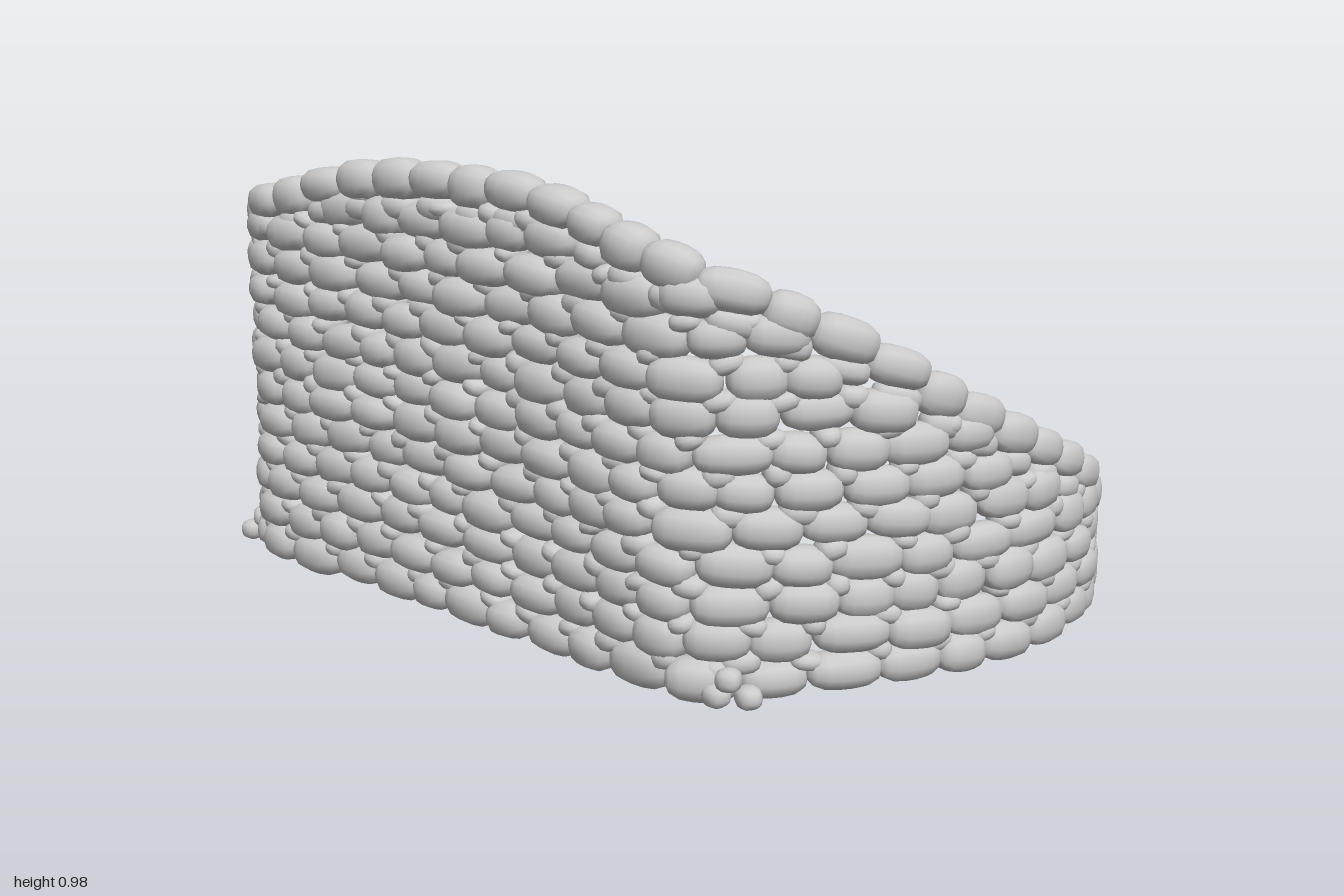
import * as THREE from 'three';
import { mergeVertices } from 'three/addons/utils/BufferGeometryUtils.js';

// Small seeded random generator
let seed = 7;
function rand(a, b) {
  seed = (seed * 16807) % 2147483647;
  return a + (b - a) * (seed / 2147483647);
}

// Pillow-shaped stone, 1 unit in each direction, long axis along x
function stoneGeometry() {
  let geo = new THREE.SphereGeometry(0.5, 14, 9).rotateZ(Math.PI / 2);
  geo.deleteAttribute('uv');
  geo.deleteAttribute('normal');
  geo = mergeVertices(geo, 1e-4);
  const p = geo.attributes.position;
  const v = new THREE.Vector3();
  for (let i = 0; i < p.count; i++) {
    v.fromBufferAttribute(p, i).multiplyScalar(2);
    const n = 2.8;
    const r = (Math.abs(v.x) ** n + Math.abs(v.y) ** n + Math.abs(v.z) ** n) ** (1 / n);
    v.multiplyScalar(0.5 / r);
    p.setXYZ(i, v.x, v.y, v.z);
  }
  geo.computeVertexNormals();
  return geo;
}

// Rim of the wall: plan position plus height of the top edge
const rim = new THREE.CatmullRomCurve3([
  [0.70, 0.035, 0.595], [0.60, 0.15, 0.71], [0.44, 0.25, 0.83], [0.28, 0.37, 0.925],
  [0.02, 0.50, 0.95], [-0.20, 0.62, 0.915], [-0.40, 0.75, 0.83], [-0.55, 0.83, 0.73],
  [-0.62, 0.875, 0.65], [-0.635, 0.91, 0.52], [-0.625, 0.97, 0.25], [-0.635, 0.98, 0],
  [-0.645, 0.97, -0.25], [-0.66, 0.91, -0.52], [-0.65, 0.875, -0.66], [-0.57, 0.83, -0.76],
  [-0.40, 0.75, -0.86], [-0.20, 0.62, -0.925], [0.02, 0.50, -0.955], [0.22, 0.40, -0.935],
  [0.40, 0.27, -0.83], [0.56, 0.16, -0.72], [0.67, 0.04, -0.605],
].map(([x, y, z]) => new THREE.Vector3(x, y, z)), false, 'centripetal');
rim.arcLengthDivisions = 800;

export function createModel() {
  seed = 7;
  const model = new THREE.Group();
  model.name = 'curvedStoneWall';
  const geo = stoneGeometry();
  const mat = new THREE.MeshStandardMaterial({ color: 0xcccccc });
  const length = rim.getLength();

  const addGroup = (name) => {
    const g = new THREE.Group();
    g.name = name;
    model.add(g);
    return g;
  };
  const addStone = (group, name, pos, size, yaw, tilt) => {
    const m = new THREE.Mesh(geo, mat);
    m.name = name;
    m.position.copy(pos);
    m.scale.set(...size);
    m.rotation.set(rand(-0.08, 0.08), yaw, tilt, 'YXZ');
    group.add(m);
  };
  // Position, yaw, slope and thickness of the wall at u
  const frame = (u) => {
    const p = rim.getPointAt(u);
    const t = rim.getTangentAt(u);
    const flat = Math.hypot(t.x, t.z);
    return {
      p, flat, yaw: Math.atan2(-t.z, t.x), slope: Math.atan2(t.y, flat),
      depth: Math.min(0.09, 0.045 + p.y * 0.05),
    };
  };

  // Horizontal courses with small filler stones at the joints
  const rowH = 0.073;
  const fillers = addGroup('fillerStones');
  for (let row = 0; row < 13; row++) {
    const course = addGroup('course' + (row + 1));
    const y = 0.052 + row * rowH;
    let u = (row % 2) * 0.016 + 0.004;
    while (u < 0.995) {
      const w = rand(0.105, 0.15);
      const mid = frame(Math.min(u + w / 2 / length, 1));
      const du = w / mid.flat / length;
      const f = frame(Math.min(u + du / 2, 1));
      if (y < f.p.y - 0.085) {
        const h = rand(0.074, 0.088);
        const pos = f.p.clone().setY(y + rand(-0.006, 0.006));
        pos.x += rand(-0.006, 0.006);
        pos.z += rand(-0.006, 0.006);
        addStone(course, 'wallStone', pos, [w * 1.04, h, f.depth * rand(0.9, 1.08)],
          f.yaw + rand(-0.06, 0.06), f.slope * 0.12 + rand(-0.07, 0.07));
        const j = frame(Math.min(u + du, 1));
        if (y < j.p.y - 0.11) {
          addStone(fillers, 'fillerStone', j.p.clone().setY(y + rowH * rand(0.35, 0.5)),
            [rand(0.05, 0.08), rand(0.035, 0.05), j.depth * rand(0.7, 0.9)],
            j.yaw, rand(-0.3, 0.3));
        }
      }
      u += du;
    }
  }

  // Capstones following the sloping top edge, shrinking toward both tips
  const caps = addGroup('capStones');
  let u = 0;
  while (u < 1) {
    const start = frame(u);
    const size = Math.min(1, 0.35 + start.p.y * 3.5, 0.35 + (1 - u) * 9);
    const w = rand(0.1, 0.135) * size;
    const f = frame(Math.min(u + w / 2 / length, 1));
    const h = rand(0.075, 0.09) * size;
    const pos = f.p.clone();
    pos.y = Math.max(pos.y - h * 0.5, h * 0.5 + 0.01);
    addStone(caps, 'capStone', pos, [w * 1.08, h, f.depth * rand(0.95, 1.12)],
      f.yaw, f.slope * 0.6 + rand(-0.08, 0.08));
    // Stone packed under the cap where the course below steps down
    if (f.p.y > 0.14) {
      addStone(fillers, 'underCapStone', pos.clone().setY(pos.y - 0.058),
        [w * 0.8, 0.055, f.depth * 0.85], f.yaw, f.slope * 0.5);
    }
    u += w / length;
  }

  // Loose rubble at the foot of the two back corners
  const rubble = addGroup('cornerRubble');
  for (const [x, z] of [[-0.60, 0.78], [-0.625, -0.79]]) {
    for (let i = 0; i < 4; i++) {
      addStone(rubble, 'rubbleStone',
        new THREE.Vector3(x + rand(-0.02, 0.02), 0.035 + (i % 2) * 0.035, z - Math.sign(z) * 0.025 * i),
        [rand(0.045, 0.065), 0.045, 0.05], rand(0, 3), rand(-0.2, 0.2));
    }
  }
  return model;
}
